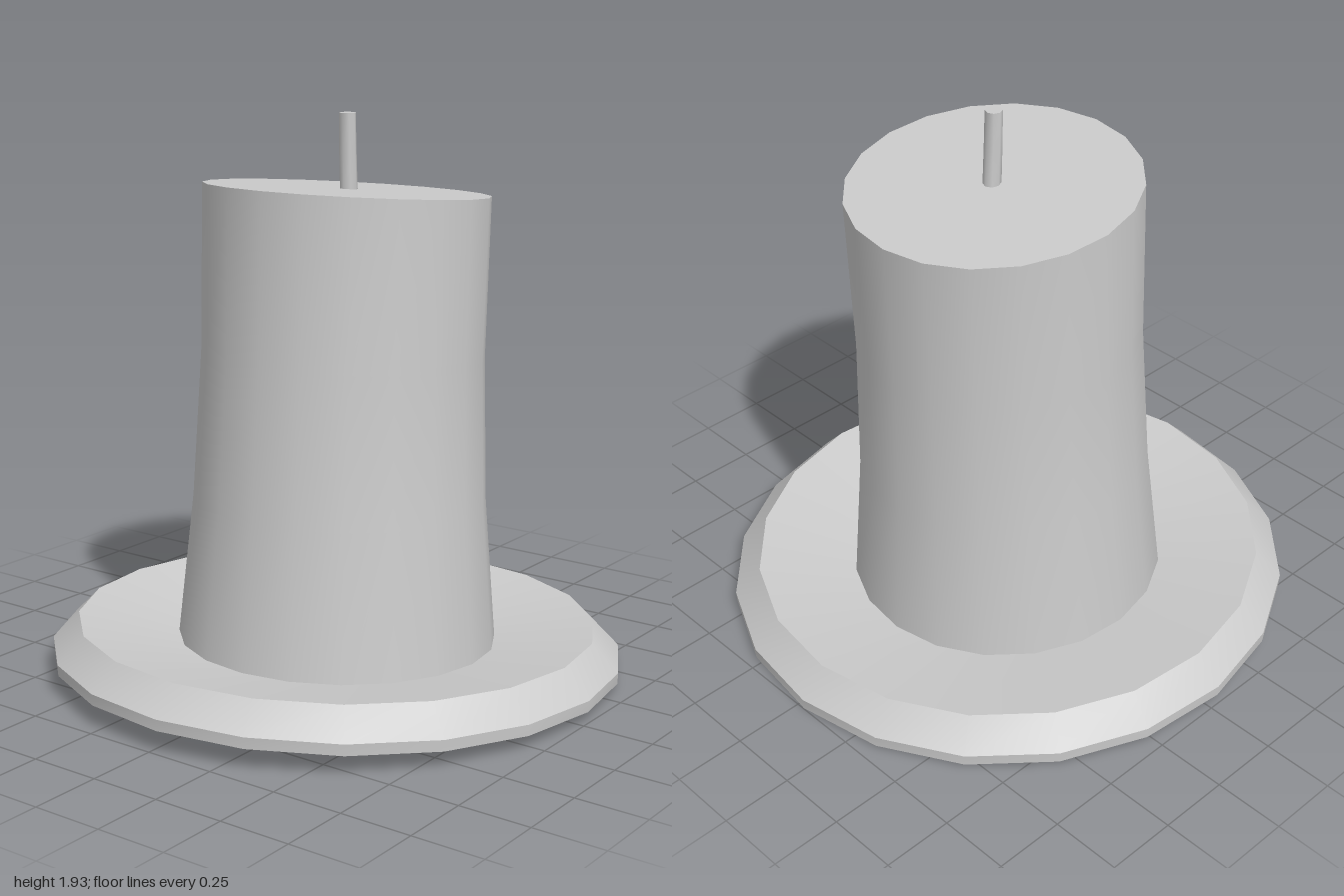
import * as THREE from 'three';

const material = new THREE.MeshStandardMaterial({ color: 0xcccccc, side: THREE.DoubleSide });

// Smooth skin through tilted rings [centreX, centreY, radius, slope], bottom to top
function loft(rings, sides) {
  const pos = [], index = [];
  for (const [cx, cy, r, slope] of rings) {
    for (let i = 0; i < sides; i++) {
      const a = -0.03 + (i / sides) * Math.PI * 2;
      const dx = r * Math.cos(a);
      pos.push(cx + dx, cy + dx * slope, r * Math.sin(a));
    }
  }
  for (let k = 0; k < rings.length - 1; k++) {
    for (let i = 0; i < sides; i++) {
      const a = k * sides + i, b = k * sides + (i + 1) % sides;
      index.push(a, a + sides, b, b, a + sides, b + sides);
    }
  }
  const geo = new THREE.BufferGeometry();
  geo.setAttribute('position', new THREE.Float32BufferAttribute(pos, 3));
  geo.setIndex(index);
  geo.computeVertexNormals();
  return geo;
}

// Flat cap filling a ring, facing up or down
function cap([cx, cy, r, slope], sides, up) {
  const centre = [cx, cy, 0.0001, slope], edge = [cx, cy, r, slope];
  return loft(up ? [edge, centre] : [centre, edge], sides);
}

function part(parent, name, geometry) {
  const mesh = new THREE.Mesh(geometry, material);
  mesh.name = name;
  parent.add(mesh);
}

export function createModel() {
  const model = new THREE.Group();
  model.name = 'candleOnDish';

  // Thin dish, open underneath, its plate sloping down to the candle
  const dish = new THREE.Group();
  dish.name = 'dish';
  const rimLow = [0, 0.041, 0.998, -0.039];
  const rimHigh = [0, 0.08, 1, -0.039];
  const plateEdge = [0, 0.175, 0.908, -0.039];
  const plateInner = [0, 0.105, 0.52, -0.039];
  part(dish, 'dishRim', loft([rimLow, rimHigh], 20));
  part(dish, 'dishBevel', loft([rimHigh, plateEdge], 20));
  part(dish, 'dishPlate', loft([plateEdge, plateInner], 20));
  model.add(dish);

  // Leaning candle body, its foot reaching through the plate
  const candle = new THREE.Group();
  candle.name = 'candle';
  const body = [
    [0, 0.053, 0.563, -0.039],
    [0.018, 0.61, 0.51, -0.04],
    [0.038, 1.115, 0.488, -0.065],
    [0.06, 1.678, 0.491, -0.087],
  ];
  part(candle, 'candleBody', loft(body, 20));
  part(candle, 'candleFoot', cap(body[0], 20, false));
  part(candle, 'candleTop', cap(body[3], 20, true));
  model.add(candle);

  // Short leaning wick
  const wick = new THREE.Group();
  wick.name = 'wick';
  const stem = [[0.07, 1.64, 0.031, -0.05], [0.063, 1.8, 0.03, 0], [0.059, 1.935, 0.029, 0]];
  part(wick, 'wickStem', loft(stem, 8));
  part(wick, 'wickTip', cap(stem[2], 8, true));
  model.add(wick);

  return model;
}
